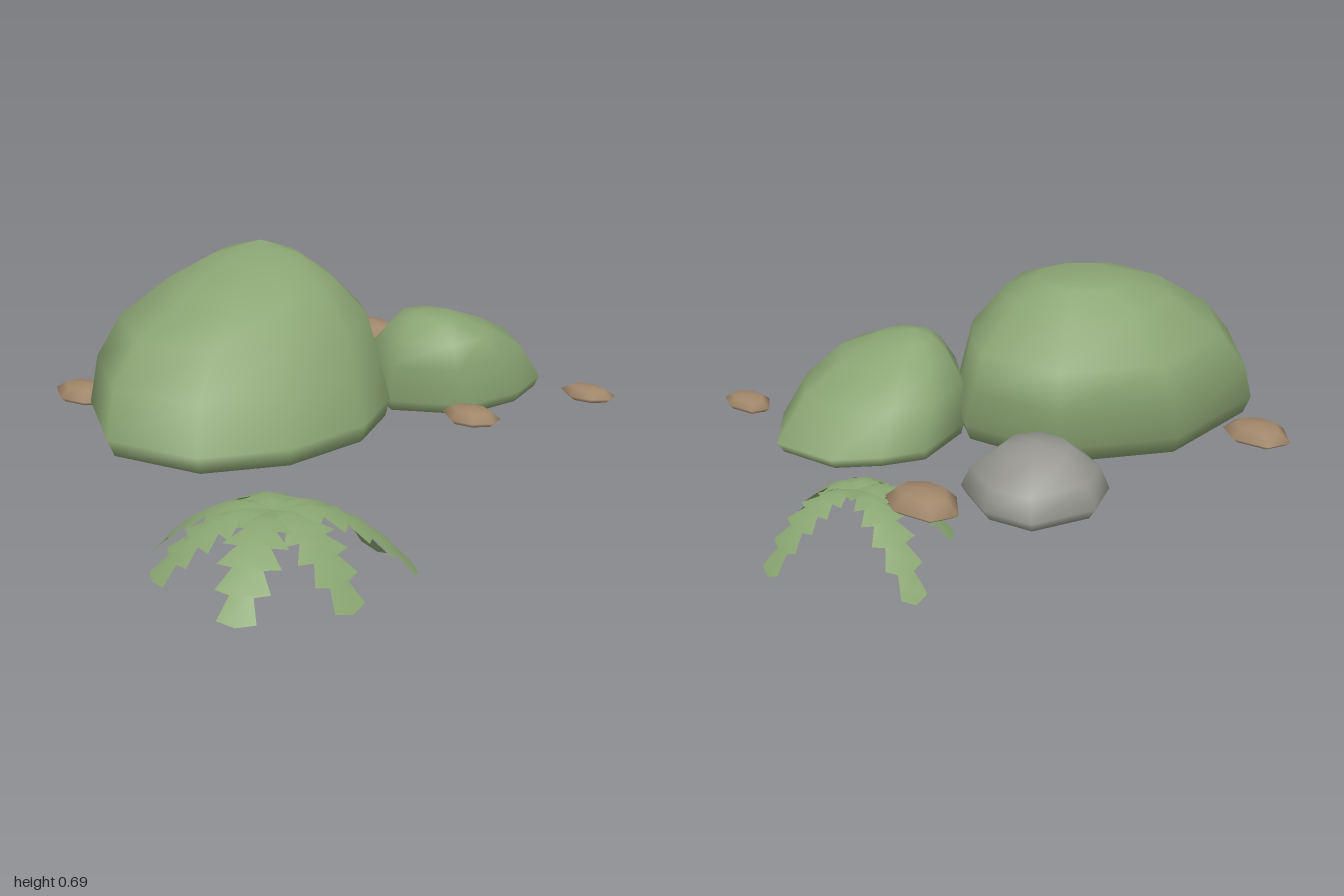
import * as THREE from 'three';

const mat = (name, color, side = THREE.FrontSide) => {
  const m = new THREE.MeshStandardMaterial({ color, side });
  m.name = name;
  return m;
};

// Smooth boulder: one outline is fitted to a box [y, xMin, xMax, zMin, zMax] at each height.
function boulder(name, outline, rings, top, topMat, baseMat) {
  const xs = outline.map(p => p[0]), zs = outline.map(p => p[1]);
  const x0 = Math.min(...xs), x1 = Math.max(...xs), z0 = Math.min(...zs), z1 = Math.max(...zs);
  const n = outline.length, pos = [], idx = [];
  for (const [y, a, b, c, d] of rings)
    for (const [x, z] of outline)
      pos.push(a + (b - a) * (x - x0) / (x1 - x0), y, c + (d - c) * (z - z0) / (z1 - z0));
  const topI = rings.length * n, baseI = topI + 1, r0 = rings[0];
  pos.push(...top, (r0[1] + r0[2]) / 2, r0[0], (r0[3] + r0[4]) / 2);
  for (let r = 0; r < rings.length - 1; r++)
    for (let i = 0; i < n; i++) {
      const j = (i + 1) % n, a = r * n + i, b = r * n + j;
      idx.push(a, a + n, b, b, a + n, b + n);
    }
  const last = (rings.length - 1) * n;
  for (let i = 0; i < n; i++) idx.push(last + i, topI, last + (i + 1) % n);
  const sideCount = idx.length;
  for (let i = 0; i < n; i++) idx.push(i, (i + 1) % n, baseI);
  const g = new THREE.BufferGeometry();
  g.setAttribute('position', new THREE.Float32BufferAttribute(pos, 3));
  g.setIndex(idx);
  g.addGroup(0, sideCount, 0);
  g.addGroup(sideCount, n * 3, 1);
  g.computeVertexNormals();
  const mesh = new THREE.Mesh(g, [topMat, baseMat]);
  mesh.name = name;
  return mesh;
}

// Drooping toothed leaf from a centre to a tip, folded along its rib.
function frond(cx, cz, tip, halfWidth, material) {
  const [tx, ty, tz] = tip, steps = 12;
  const dir = new THREE.Vector3(tx - cx, 0, tz - cz), length = dir.length();
  dir.normalize();
  const left = new THREE.Vector3(0, 1, 0).cross(dir);
  const rib = new THREE.QuadraticBezierCurve3(
    new THREE.Vector3(cx, 0.235, cz),
    new THREE.Vector3((cx + tx) / 2, 0.285, (cz + tz) / 2),
    new THREE.Vector3(tx, ty, tz));
  const pos = [], idx = [];
  for (let i = 0; i <= steps; i++) {
    const t = i / steps, p = rib.getPoint(t);
    const tooth = i % 2 === 1;
    const envelope = i === steps ? 0 : 0.35 + 0.65 * Math.sin(Math.PI * Math.min(1, 0.1 + t * 0.85));
    const w = halfWidth * envelope * (tooth ? 1 : 0.5);
    // Tooth points lean towards the tip
    const lean = tooth ? length * 0.05 : 0;
    const drop = 0.22 * w + lean * t * 0.9;
    for (const s of [1, 0, -1]) {
      const q = p.clone();
      if (s) q.addScaledVector(left, s * w).addScaledVector(dir, i === steps ? 0 : lean);
      if (s && i < steps) q.y -= drop;
      pos.push(q.x, q.y, q.z);
    }
    if (i < steps) {
      const l = i * 3, m = l + 1, r = l + 2;
      idx.push(m, m + 3, l, l, m + 3, l + 3, m, r, m + 3, r, r + 3, m + 3);
    }
  }
  const g = new THREE.BufferGeometry();
  g.setAttribute('position', new THREE.Float32BufferAttribute(pos, 3));
  g.setIndex(idx);
  g.computeVertexNormals();
  const mesh = new THREE.Mesh(g, material);
  mesh.name = 'frond';
  return mesh;
}

function fern(name, cx, cz, tips, halfWidth, material) {
  const g = new THREE.Group();
  g.name = name;
  for (const tip of tips) g.add(frond(cx, cz, tip, halfWidth, material));
  return g;
}

export function createModel() {
  const moss = mat('moss green', 0x8ca674);
  const stone = mat('stone grey', 0x979790);
  const earth = mat('pebble brown', 0xa1876a);
  const leaf = mat('leaf green', 0x8aa672, THREE.DoubleSide);
  const model = new THREE.Group();
  model.name = 'mossyRocks';

  // Mossy boulders with bare stone undersides
  model.add(boulder('largeBoulder',
    [[-0.46, -0.48], [-0.09, -0.54], [0.22, -0.36], [0.29, -0.06], [0.21, 0.08], [0.1, 0.2],
      [-0.12, 0.275], [-0.4, 0.23], [-0.61, 0.07], [-0.66, -0.22]],
    [[0.23, -0.64, 0.26, -0.5, 0.265], [0.28, -0.66, 0.28, -0.52, 0.275],
      [0.4, -0.59, 0.29, -0.54, 0.21], [0.51, -0.49, 0.27, -0.51, 0.16],
      [0.62, -0.33, 0.14, -0.39, 0.08], [0.675, -0.17, 0.08, -0.31, -0.05]],
    [0.02, 0.7, -0.22], moss, stone));
  model.add(boulder('smallBoulder',
    [[0.25, -0.01], [0.45, -0.08], [0.57, -0.03], [0.68, 0.05], [0.72, 0.24], [0.58, 0.4],
      [0.42, 0.43], [0.23, 0.38], [0.12, 0.18]],
    [[0.23, 0.13, 0.7, -0.07, 0.42], [0.26, 0.12, 0.72, -0.08, 0.43],
      [0.37, 0.11, 0.62, -0.04, 0.41], [0.44, 0.15, 0.48, 0.04, 0.37],
      [0.485, 0.21, 0.37, 0.1, 0.27]],
    [0.27, 0.5, 0.18], moss, stone));
  model.add(boulder('greyBoulder',
    [[0.36, -0.66], [0.54, -0.61], [0.58, -0.47], [0.52, -0.31], [0.37, -0.26], [0.24, -0.32],
      [0.2, -0.47], [0.24, -0.59]],
    [[0.23, 0.22, 0.56, -0.64, -0.28], [0.26, 0.2, 0.58, -0.66, -0.26],
      [0.32, 0.22, 0.56, -0.63, -0.29], [0.385, 0.3, 0.48, -0.56, -0.37]],
    [0.39, 0.4, -0.465], stone, stone));

  // Pebbles: x, z, half width, half depth, top height
  const pebbleOutline = [[-0.2, -1], [0.65, -0.8], [1, 0.2], [0.5, 0.9], [-0.2, 1], [-0.85, 0.5], [-1, -0.25]];
  for (const [x, z, a, b, top] of [
    [-0.345, -0.595, 0.08, 0.107, 0.275], [0.64, -0.3, 0.088, 0.12, 0.287],
    [0.202, 0.41, 0.066, 0.09, 0.272], [0.582, 0.57, 0.058, 0.085, 0.265]]) {
    const ring = (y, s) => [y, x - a * s, x + a * s, z - b * s, z + b * s];
    model.add(boulder('pebble', pebbleOutline,
      [ring(0.23, 0.82), ring(0.243, 1), ring(0.23 + (top - 0.23) * 0.82, 0.66)],
      [x, top, z], earth, earth));
  }

  // Ferns
  model.add(fern('rightFern', -0.67, 0.39, [
    [-0.77, 0.07, 0.065], [-0.96, 0.09, 0.23], [-1, 0.07, 0.54], [-0.72, 0.045, 0.69],
    [-0.4, 0.04, 0.66], [-0.31, 0.01, 0.46], [-0.45, 0.08, 0.15]], 0.088, leaf));
  model.add(fern('leftFern', 0.71, -0.1, [
    [0.77, 0.035, -0.42], [0.99, 0.06, -0.07], [0.73, 0.05, 0.12],
    [0.53, 0.1, -0.02], [0.53, 0.1, -0.29]], 0.066, leaf));
  return model;
}
